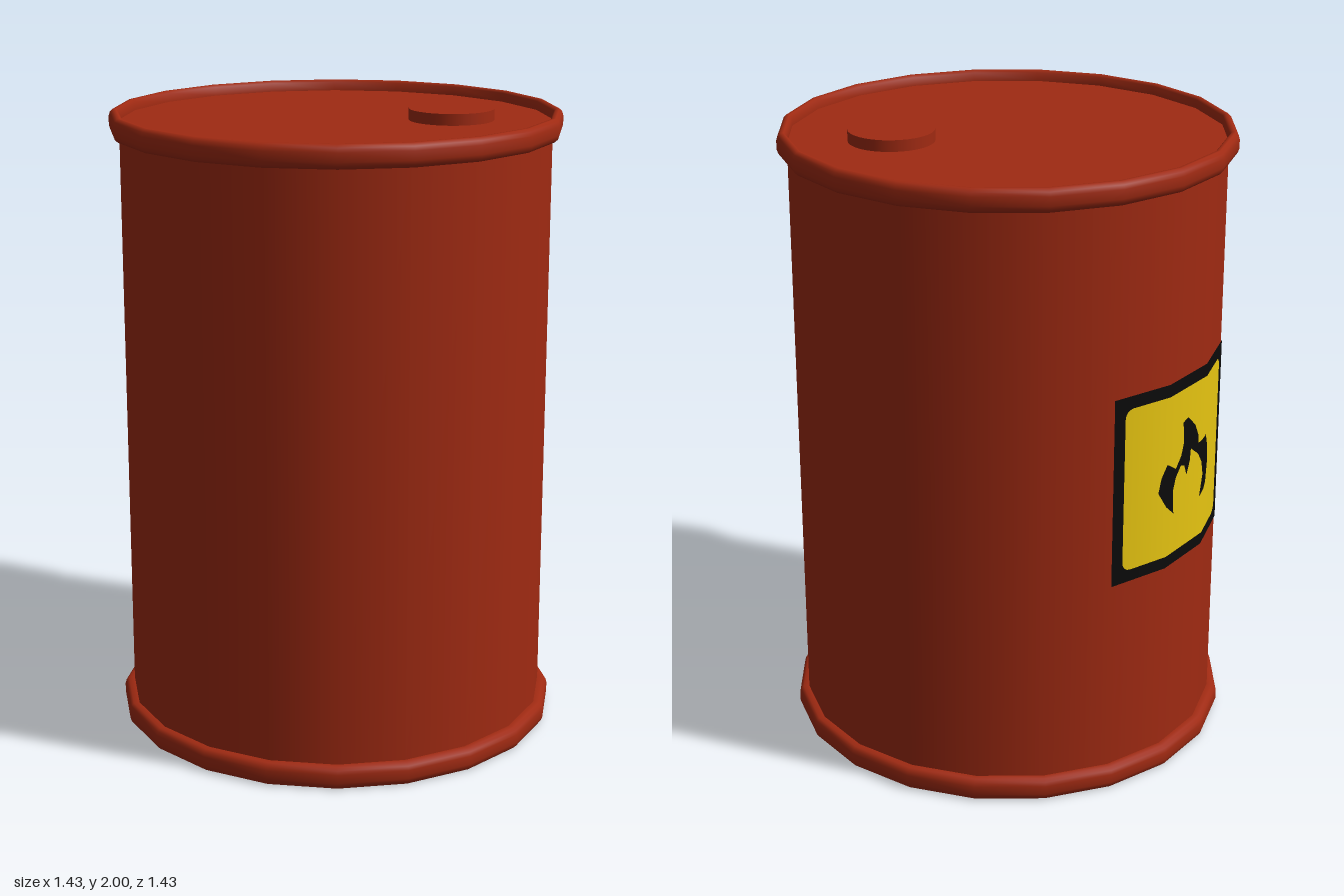
import * as THREE from 'three';
import { toCreasedNormals } from 'three/addons/utils/BufferGeometryUtils.js';

const SIDES = 20;
const BODY_R = 0.683;
const LID_Y = 1.965;

const red = new THREE.MeshStandardMaterial({ color: 0xa02a12 });
red.name = 'red paint';
const yellow = new THREE.MeshStandardMaterial({ color: 0xeecb12 });
yellow.name = 'label yellow';
const black = new THREE.MeshStandardMaterial({ color: 0x0b0b0b });
black.name = 'label black';

function part(name, geometry, material, parent) {
  const mesh = new THREE.Mesh(geometry, material);
  mesh.name = name;
  parent.add(mesh);
  return mesh;
}

function lathe(points, sides = SIDES) {
  const profile = points.map(([r, y]) => new THREE.Vector2(r, y));
  return toCreasedNormals(new THREE.LatheGeometry(profile, sides), 0.8);
}

// Keeps the side of a polygon where sign * x >= sign * limit
function clip(points, limit, sign) {
  const out = [];
  points.forEach((p, i) => {
    const q = points[(i + 1) % points.length];
    const a = sign * (p[0] - limit);
    const b = sign * (q[0] - limit);
    if (a >= 0) out.push(p);
    if (a * b < 0) {
      const t = a / (a - b);
      out.push([limit, p[1] + (q[1] - p[1]) * t]);
    }
  });
  return out;
}

// Wraps an outline of [degrees, height] points onto the drum's flat sides.
// Degrees run from the back (-z) towards -x.
function decal(name, outline, lift, material, parent) {
  const group = new THREE.Group();
  group.name = name;
  const r = BODY_R + lift;
  for (let start = 36; start < 90; start += 18) {
    const piece = clip(clip(outline, start, 1), start + 18, -1);
    if (piece.length < 3) continue;
    const shape = new THREE.Shape(piece.map(([u, y]) => new THREE.Vector2(u, y)));
    const geometry = new THREE.ShapeGeometry(shape);
    const pos = geometry.attributes.position;
    const normal = geometry.attributes.normal;
    const corner = (deg) => {
      const a = THREE.MathUtils.degToRad(deg);
      return new THREE.Vector3(-Math.sin(a), 0, -Math.cos(a));
    };
    const from = corner(start);
    const to = corner(start + 18);
    for (let i = 0; i < pos.count; i++) {
      const p = from.clone().lerp(to, (pos.getX(i) - start) / 18);
      pos.setXYZ(i, p.x * r, pos.getY(i), p.z * r);
      p.normalize();
      normal.setXYZ(i, p.x, 0, p.z);
    }
    part(name + 'Panel', geometry, material, group);
  }
  parent.add(group);
}

// Rounded rectangle in [degrees, height]
function roundedRect(u0, u1, y0, y1, ru, ry) {
  const points = [];
  const corners = [[u1 - ru, y1 - ry], [u0 + ru, y1 - ry], [u0 + ru, y0 + ry], [u1 - ru, y0 + ry]];
  corners.forEach(([u, y], k) => {
    for (let i = 0; i <= 4; i++) {
      const a = (k + i / 4) * Math.PI / 2;
      points.push([u + ru * Math.cos(a), y + ry * Math.sin(a)]);
    }
  });
  return points;
}

export function createModel() {
  const drum = new THREE.Group();
  drum.name = 'drum';

  // Shell
  const body = new THREE.CylinderGeometry(BODY_R, BODY_R, 1.9, SIDES, 1, true);
  part('body', body, red, drum).position.y = 1;

  // Rolled rims, the lower one mirrored and closed by a flat base
  const rim = [
    [0.683, 1.928], [0.702, 1.928], [0.711, 1.937], [0.715, 1.95],
    [0.715, 1.978], [0.711, 1.991], [0.702, 2], [0.692, 2], [0.685, 1.993], [0.684, LID_Y],
  ];
  part('topRim', lathe(rim), red, drum);
  const lower = rim.slice(0, 7).map(([r, y]) => [r, 2 - y]).reverse();
  part('bottomRim', lathe(lower), red, drum);

  const lid = part('lid', new THREE.CircleGeometry(0.684, SIDES), red, drum);
  lid.rotation.x = -Math.PI / 2;
  lid.position.y = LID_Y;
  const base = part('base', new THREE.CircleGeometry(0.702, SIDES), red, drum);
  base.rotation.x = Math.PI / 2;

  // Filler cap
  const cap = new THREE.CylinderGeometry(0.135, 0.135, 0.038, 32);
  part('fillerCap', cap, red, drum).position.set(0.343, LID_Y + 0.017, -0.119);

  // Warning label: border, face and flame
  decal('labelBorder', [[36, 0.705], [90, 0.705], [90, 1.322], [36, 1.322]], 0.003, black, drum);
  decal('labelFace', roundedRect(39.4, 86.6, 0.745, 1.282, 2.6, 0.03), 0.005, yellow, drum);
  const flame = [
    [50.7, 0.973], [51.6, 1.02], [53.5, 1.061], [57.5, 1.031], [60, 1.065], [61, 1.1],
    [60.8, 1.15], [60.5, 1.173], [62.9, 1.181], [66.6, 1.141], [68.3, 1.1], [68.5, 1.071],
    [70.5, 1.075], [72.4, 1.085], [74.4, 1.04], [75.2, 0.981], [73.8, 0.916], [69.8, 0.88],
    [71.2, 0.954], [70.4, 1.0], [68.5, 1.035], [64.7, 1.069], [64.4, 1.03], [62.9, 0.988],
    [61.6, 1.025], [59.9, 1.031], [57.5, 1.0], [56.4, 0.962], [56.9, 0.882], [53.5, 0.918],
  ].reverse();
  decal('flame', flame, 0.007, black, drum);

  return drum;
}
